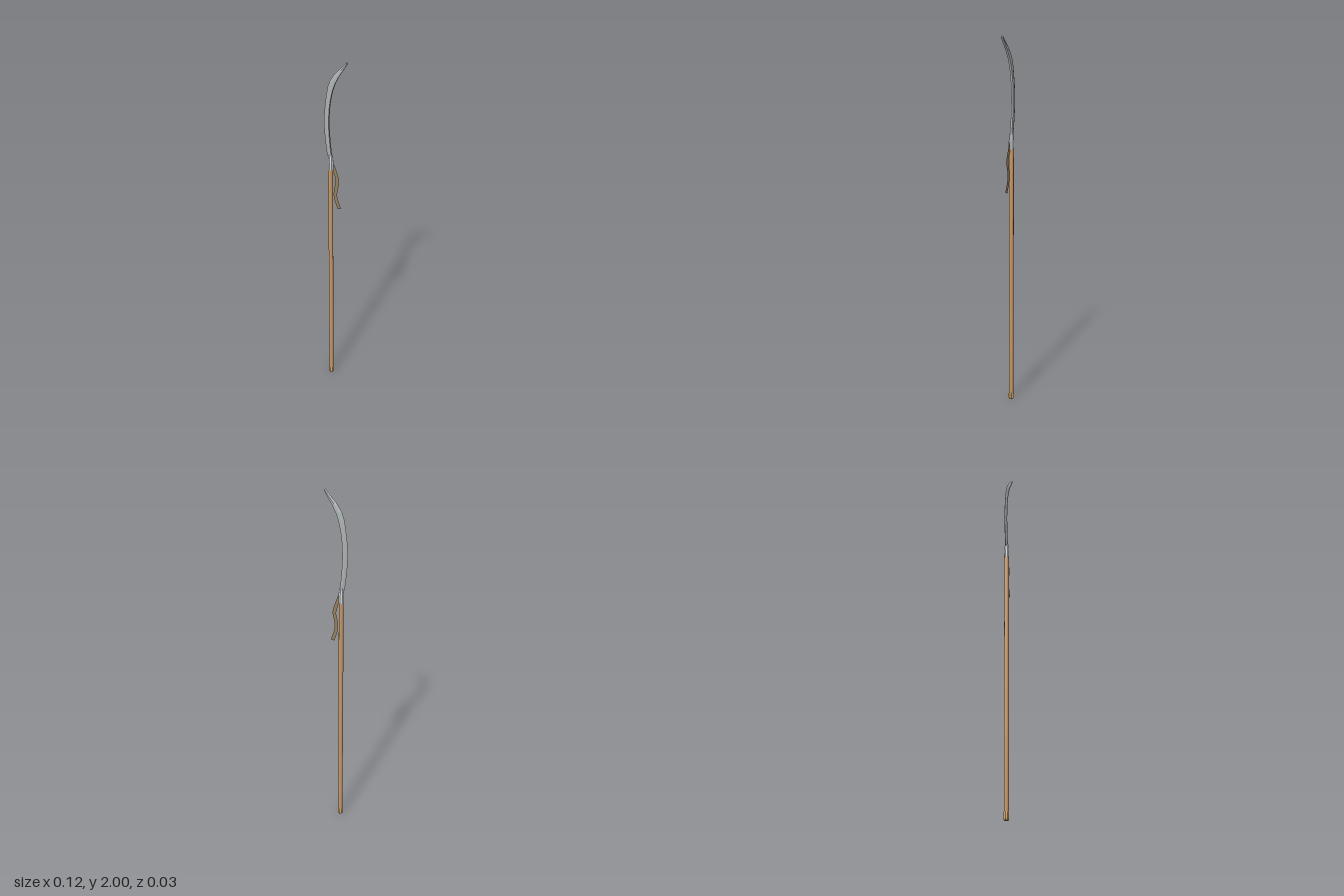
import * as THREE from 'three';

const AXIS_X = -0.026;
const SIDES = 8;

function material(color, options = {}) {
  return new THREE.MeshStandardMaterial({ color, flatShading: true, ...options });
}

// Turned part around the pole axis; profile is [radius, height] from bottom to top
function turned(name, profile, mat) {
  const points = profile.map(([r, y]) => new THREE.Vector2(r, y));
  const mesh = new THREE.Mesh(new THREE.LatheGeometry(points, SIDES), mat);
  mesh.position.x = AXIS_X;
  mesh.name = name;
  return mesh;
}

// Blade with a bevelled outer edge and a flat inner spine
function bladeGeometry() {
  const curve = (pts) => new THREE.CatmullRomCurve3(pts.map(([x, y]) => new THREE.Vector3(x, y, 0)));
  const outer = curve([[-0.043, 1.5], [-0.053, 1.58], [-0.059, 1.685], [-0.051, 1.79], [-0.027, 1.9], [0.055, 2.0]]);
  const inner = curve([[-0.02, 1.5], [-0.028, 1.58], [-0.033, 1.685], [-0.025, 1.795], [0, 1.89], [0.058, 1.99]]);
  const steps = 15, half = 0.006;
  const positions = [], index = [];
  for (let i = 0; i <= steps; i++) {
    const a = outer.getPoint(i / steps), b = inner.getPoint(i / steps);
    const shoulder = a.clone().lerp(b, 0.5);
    positions.push(a.x, a.y, 0, shoulder.x, shoulder.y, half, b.x, b.y, half,
      b.x, b.y, -half, shoulder.x, shoulder.y, -half);
  }
  for (let i = 0; i < steps; i++) {
    for (let j = 0; j < 5; j++) {
      const a = i * 5 + j, b = i * 5 + (j + 1) % 5;
      index.push(a, b, b + 5, a, b + 5, a + 5);
    }
  }
  // End caps
  const top = steps * 5;
  for (let j = 1; j < 4; j++) {
    index.push(0, j + 1, j, top, top + j, top + j + 1);
  }
  const geometry = new THREE.BufferGeometry();
  geometry.setAttribute('position', new THREE.Float32BufferAttribute(positions, 3));
  geometry.setIndex(index);
  geometry.computeVertexNormals();
  return geometry;
}

// Thin wavy strip hanging beside the pole
function ribbonGeometry() {
  const path = new THREE.CatmullRomCurve3([
    [-0.02, 1.465], [-0.003, 1.42], [0.011, 1.365], [0.003, 1.32], [0, 1.275], [0.021, 1.203],
  ].map(([x, y]) => new THREE.Vector3(x, y, 0)));
  const steps = 16, half = 0.0095;
  const left = [], right = [];
  for (let i = 0; i <= steps; i++) {
    const p = path.getPoint(i / steps), t = path.getTangent(i / steps);
    left.push(new THREE.Vector2(p.x - t.y * half, p.y + t.x * half));
    right.unshift(new THREE.Vector2(p.x + t.y * half, p.y - t.x * half));
  }
  return new THREE.ShapeGeometry(new THREE.Shape([...left, ...right]));
}

export function createModel() {
  const group = new THREE.Group();
  group.name = 'poleBlade';

  // Smooth-shaded pole that darkens softly towards the butt
  group.add(turned('shaft', [[0, 0.03], [0.013, 0.03], [0.013, 0.4], [0.013, 1.45]],
    material(0xcb9a68, { flatShading: false })));
  group.add(turned('buttCap', [[0, 0], [0.012, 0], [0.0143, 0.008], [0.0143, 0.034], [0.013, 0.042], [0, 0.042]],
    material(0xd8a868)));

  // Metal socket narrowing towards the blade
  group.add(turned('socket', [[0, 1.428], [0.0143, 1.428], [0.0146, 1.47], [0.012, 1.495], [0.0095, 1.51], [0, 1.51]],
    material(0xd6dae2)));

  const blade = new THREE.Mesh(bladeGeometry(), material(0xadb3b3));
  blade.name = 'blade';
  group.add(blade);

  const ribbon = new THREE.Mesh(ribbonGeometry(), material(0x94805f, { side: THREE.DoubleSide }));
  ribbon.name = 'ribbon';
  group.add(ribbon);

  return group;
}
